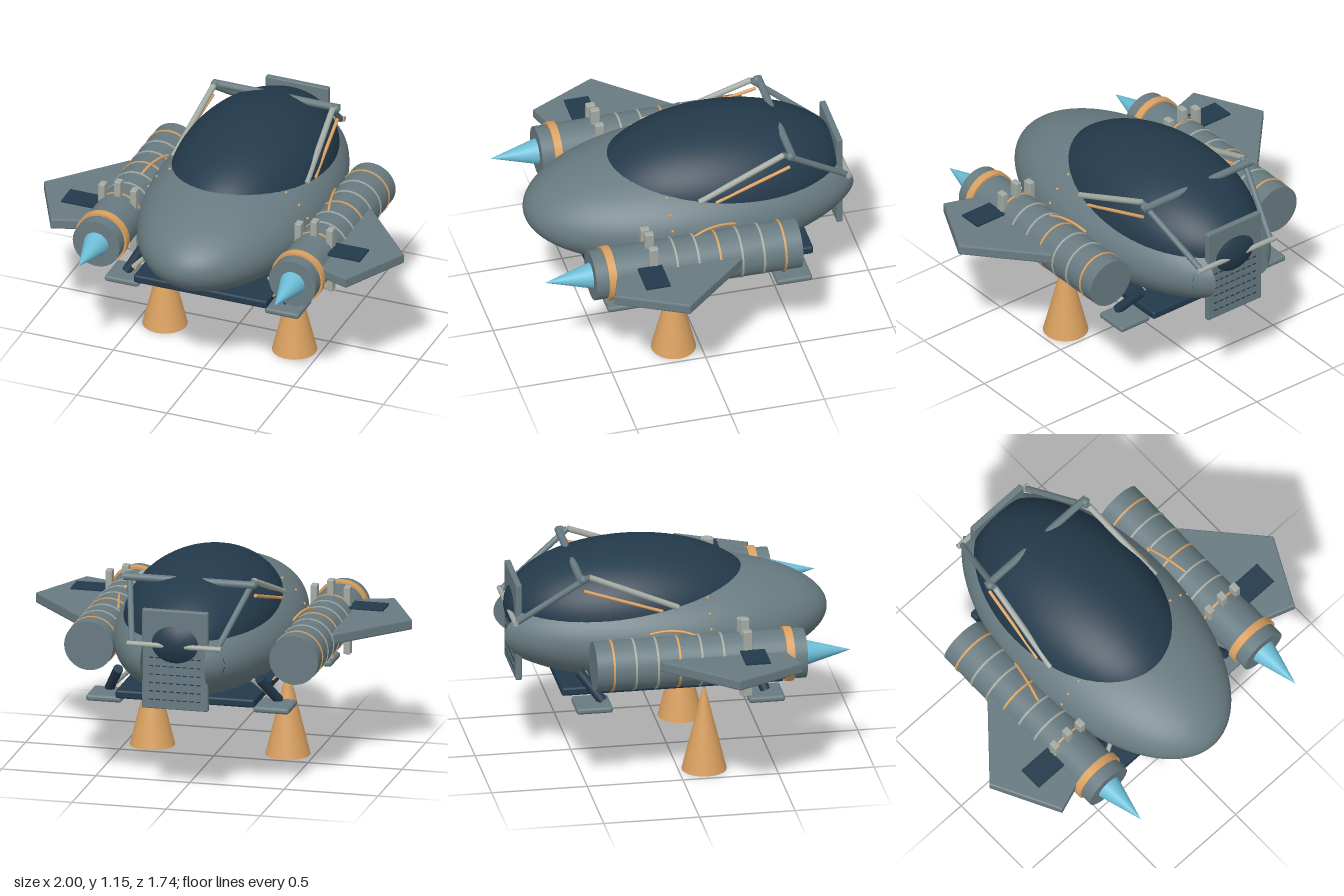
import * as THREE from 'three';
import { toCreasedNormals } from 'three/addons/utils/BufferGeometryUtils.js';
import { RoundedBoxGeometry } from 'three/addons/geometries/RoundedBoxGeometry.js';
import { ParametricGeometry } from 'three/addons/geometries/ParametricGeometry.js';

const makeMat = (name, color, side = THREE.FrontSide) => {
  const m = new THREE.MeshStandardMaterial({ color, side });
  m.name = name;
  return m;
};

export function createModel() {
  const root = new THREE.Group();
  root.name = 'shuttle';
  const grey = makeMat('hullGrey', 0x687b81, THREE.DoubleSide);
  const navy = makeMat('navy', 0x233a4b);
  const orange = makeMat('copper', 0xd9a060, THREE.DoubleSide);
  const cyan = makeMat('cyan', 0x6cbdd6);
  const pale = makeMat('paleMetal', 0xa3aaa2);

  const add = (name, geo, mat, x = 0, y = 0, z = 0) => {
    const m = new THREE.Mesh(geo, mat);
    m.name = name;
    m.position.set(x, y, z);
    root.add(m);
    return m;
  };
  const box = (name, mat, w, h, d, x, y, z, r = 0) =>
    add(name, r ? new RoundedBoxGeometry(w, h, d, 2, r) : new THREE.BoxGeometry(w, h, d), mat, x, y, z);
  // cylinder whose axis runs along z
  const drum = (name, mat, r, len, x, y, z) =>
    add(name, new THREE.CylinderGeometry(r, r, len, 40).rotateX(Math.PI / 2), mat, x, y, z);
  // straight round rod between two points
  const rod = (name, mat, a, b, r) => {
    const p = new THREE.Vector3(...a), q = new THREE.Vector3(...b);
    const m = add(name, new THREE.CylinderGeometry(r, r, p.distanceTo(q), 12), mat);
    m.position.copy(p).lerp(q, 0.5);
    m.quaternion.setFromUnitVectors(new THREE.Vector3(0, 1, 0), q.sub(p).normalize());
    return m;
  };
  const hose = (name, pts, r) => {
    const curve = new THREE.CatmullRomCurve3(pts.map(p => new THREE.Vector3(...p)));
    return add(name, new THREE.TubeGeometry(curve, 24, r, 8), orange);
  };

  // Hull: ellipsoid cut flat at the back, with two horns either side of the ramp
  const H = { x: 0.47, y: 0.295, z: 0.885, cy: 0.73, cz: -0.05, cut: -0.79, notch: 0.17 };
  const cutDepth = (H.cz - H.cut) / H.z;
  add('hull', new THREE.SphereGeometry(1, 64, 40, 0, Math.PI * 2, 0, Math.acos(-cutDepth))
    .rotateX(Math.PI / 2).scale(H.x, H.y, H.z), grey, 0, H.cy, H.cz);
  const hornEnd = H.x * Math.sqrt(1 - cutDepth ** 2);

  // Canopy
  add('canopy', new THREE.SphereGeometry(1, 56, 36).rotateX(Math.PI / 2).scale(0.4, 0.32, 0.66),
    navy, 0, 0.83, -0.19);

  // Belly tray
  box('bellyTray', navy, 0.74, 0.045, 1.16, 0, 0.478, -0.03, 0.012);

  // Rear ramp with rows of grip strips
  box('rearRamp', grey, 0.35, 0.53, 0.032, 0, 0.745, -0.801, 0.006);
  for (let row = 0; row < 6; row++)
    for (let i = 0; i < 8; i++)
      box('rampGrip', navy, 0.022, 0.005, 0.006, -0.126 + i * 0.036, 0.53 + row * 0.045, -0.818);

  // Ring of rivets around the hull
  const rivetZ = 0.16, k = Math.sqrt(1 - ((rivetZ - H.cz) / H.z) ** 2);
  for (let i = 0; i < 24; i++) {
    const a = i * Math.PI / 12;
    add('rivet', new THREE.SphereGeometry(0.008, 8, 6), orange,
      H.x * k * Math.cos(a), H.cy + H.y * k * Math.sin(a), rivetZ);
  }

  // Roll frame cross bars
  rod('upperCrossBar', grey, [-0.35, 1.085, -0.505], [0.35, 1.085, -0.505], 0.02);
  rod('rearCrossBar', pale, [-0.25, 0.825, -0.83], [0.25, 0.825, -0.83], 0.014);

  for (const s of [1, -1]) {
    // Hull horn; the first slice closes the inner wall
    const horn = new ParametricGeometry((u, v, out) => {
      const x = THREE.MathUtils.lerp(H.notch, hornEnd, Math.max(0, u * 1.125 - 0.125));
      if (u === 0) return out.set(s * x, H.cy, H.cut);
      const f = Math.sqrt(1 - (x / H.x) ** 2);
      const a = (2 * v - 1) * s * Math.acos(Math.min(1, cutDepth / f));
      out.set(s * x, H.cy + H.y * f * Math.sin(a), H.cz - H.z * f * Math.cos(a));
    }, 9, 16);
    add('hullHorn', toCreasedNormals(horn, 0.7), grey);

    // Engine pod
    const ex = s * 0.545, ey = 0.687;
    drum('enginePod', grey, 0.13, 1.1, ex, ey, 0.075);
    drum('engineCollar', orange, 0.142, 0.042, ex, ey, 0.537);
    for (let i = 0; i < 7; i++)
      drum('engineBand', i % 3 === 0 ? orange : pale, 0.134, 0.011, ex, ey, 0.305 - i * 0.115);
    add('engineSpike', new THREE.ConeGeometry(0.068, 0.245, 32).rotateX(Math.PI / 2), cyan, ex, ey, 0.747);
    for (const i of [-1, 0, 1])
      box('engineClamp', pale, 0.036, i ? 0.36 : 0.425, 0.048, ex + i * 0.088, ey, 0.314, 0.005);

    // Wing and its dark panel
    const outline = [[0.5, -0.15], [0.675, -0.15], [1, 0.215], [0.82, 0.57], [0.675, 0.52], [0.5, 0.46]];
    const shape = new THREE.Shape(outline.map(([x, z]) => new THREE.Vector2(s * x, z)));
    add('wing', new THREE.ExtrudeGeometry(shape, {
      depth: 0.04, bevelThickness: 0.009, bevelSize: 0.008, bevelOffset: -0.008, bevelSegments: 2,
    }).rotateX(Math.PI / 2), grey, 0, 0.737, 0);
    box('wingPanel', navy, 0.19, 0.009, 0.13, s * 0.735, 0.761, 0.338);

    // Landing legs and pads
    for (const [padZ, lowZ, highZ] of [[0.435, 0.44, 0.385], [-0.465, -0.41, -0.52]]) {
      box('footPad', grey, 0.19, 0.033, 0.19, s * 0.445, 0.433, padZ, 0.014);
      rod('landingLeg', navy, [s * 0.45, 0.45, lowZ], [s * 0.375, 0.59, highZ], 0.026);
      rod('legBrace', pale, [s * 0.41, 0.49, padZ + 0.02], [s * 0.33, 0.57, padZ - 0.02], 0.012);
    }

    // Downward thruster cone, open at the bottom
    add('thrusterCone', new THREE.CylinderGeometry(0.006, 0.117, 0.45, 32, 1, true), orange, s * 0.36, 0.225, 0.135);

    // Roll frame side struts
    rod('frontStrut', pale, [s * 0.37, 0.91, 0], [s * 0.33, 1.095, -0.46], 0.016);
    rod('rearStrut', grey, [s * 0.33, 1.095, -0.46], [s * 0.225, 0.82, -0.83], 0.016);
    add('strutJoint', new THREE.SphereGeometry(0.024, 16, 12), grey, s * 0.335, 1.085, -0.495);
    rod('copperStrut', orange, [s * 0.385, 0.9, -0.085], [s * 0.345, 1.025, -0.49], 0.009);

    // Hoses
    hose('engineHose', [[s * 0.465, 0.81, -0.165], [s * 0.482, 0.828, -0.09],
      [s * 0.503, 0.828, 0], [s * 0.52, 0.808, 0.07]], 0.007);
    hose('bellyHose', [[s * 0.385, 0.507, 0.49], [s * 0.395, 0.503, 0.25],
      [s * 0.395, 0.51, 0], [s * 0.385, 0.518, -0.275]], 0.006);
  }
  return root;
}
